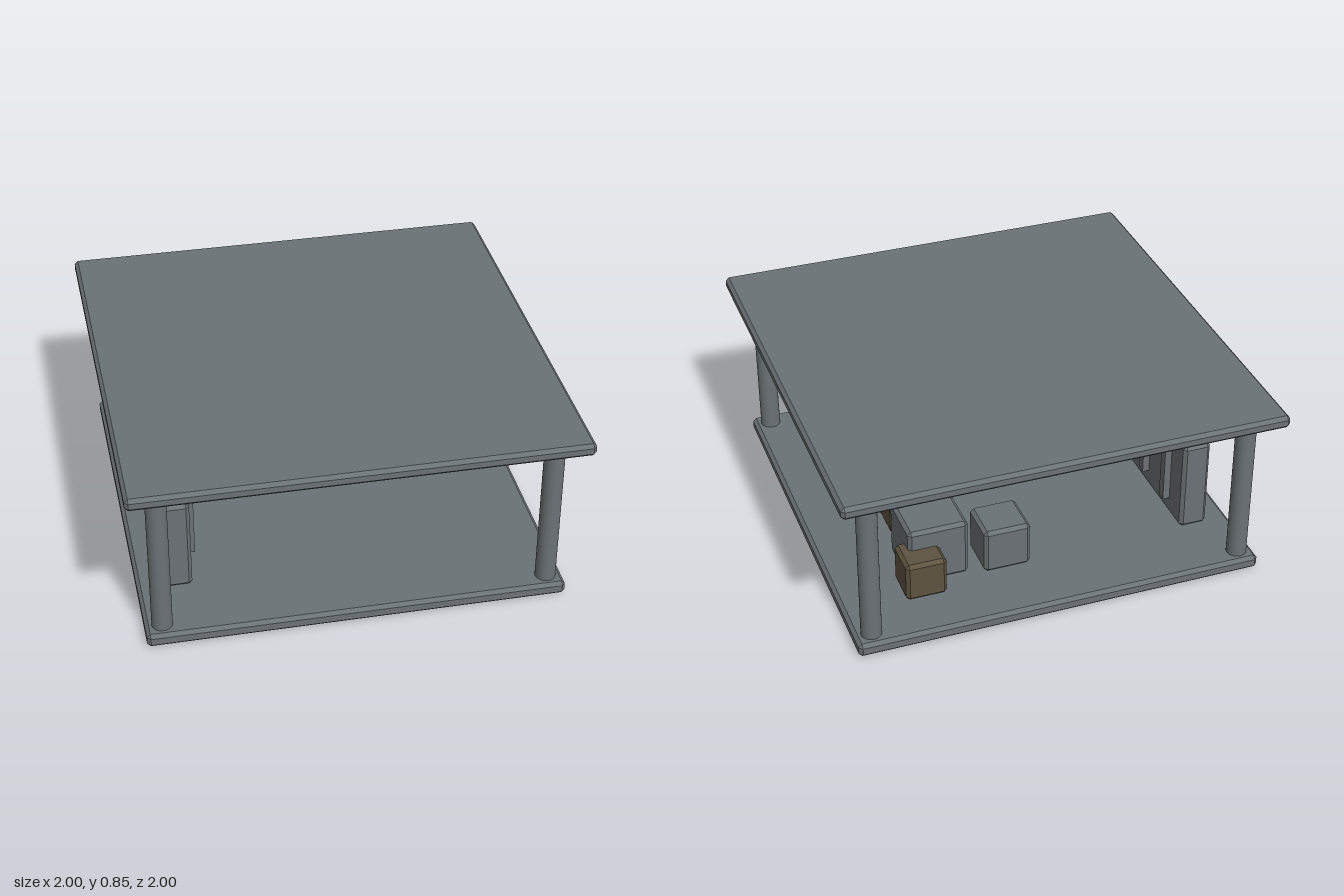
import * as THREE from 'three';
import { ConvexGeometry } from 'three/addons/geometries/ConvexGeometry.js';

// Box with every edge cut by a flat chamfer
function chamferBox(w, h, d, c) {
  const points = [];
  for (const sx of [-1, 1]) for (const sy of [-1, 1]) for (const sz of [-1, 1]) {
    const x = w / 2, y = h / 2, z = d / 2;
    points.push(
      new THREE.Vector3(sx * x, sy * (y - c), sz * (z - c)),
      new THREE.Vector3(sx * (x - c), sy * y, sz * (z - c)),
      new THREE.Vector3(sx * (x - c), sy * (y - c), sz * z));
  }
  return new ConvexGeometry(points);
}

export function createModel() {
  const model = new THREE.Group();
  model.name = 'shelter';
  const metal = new THREE.MeshStandardMaterial({ color: 0x6b7276 });
  metal.name = 'grey metal';
  const wood = new THREE.MeshStandardMaterial({ color: 0x5e5340 });
  wood.name = 'brown crate';

  const add = (name, geometry, material, x, y, z) => {
    const mesh = new THREE.Mesh(geometry, material);
    mesh.name = name;
    mesh.position.set(x, y, z);
    model.add(mesh);
  };

  const floorTop = 0.065, roofBottom = 0.785;

  // Floor and roof slabs
  add('floor', chamferBox(1.87, floorTop, 1.87, 0.016), metal, 0, floorTop / 2, 0);
  add('roof', chamferBox(2, 0.06, 2, 0.016), metal, 0, roofBottom + 0.03, 0);

  // Corner columns
  const column = new THREE.CylinderGeometry(0.046, 0.046, roofBottom - floorTop + 0.02, 32);
  for (const x of [-0.86, 0.86]) for (const z of [-0.86, 0.86]) {
    add('column', column, metal, x, (floorTop + roofBottom) / 2, z);
  }

  // Long cabinet with upright ribs on its inner face
  add('cabinet', chamferBox(0.13, 0.44, 1.245, 0.016), metal, -0.755, 0.285, 0);
  const rib = new THREE.BoxGeometry(0.05, 0.34, 0.044);
  for (let i = -2; i <= 2; i++) add('cabinetRib', rib, metal, -0.683, 0.316, i * 0.235);

  // Crates standing on the floor: material, size, x, z
  const crates = [
    ['largeCrate', metal, 0.277, 0.468, -0.468],
    ['greyCrate', metal, 0.216, 0.156, -0.53],
    ['brownCrate', wood, 0.217, 0.465, -0.123],
    ['smallBrownCrate', wood, 0.187, 0.558, -0.622],
  ];
  for (const [name, material, size, x, z] of crates) {
    add(name, chamferBox(size, size, size, 0.016), material, x, floorTop + size / 2, z);
  }
  return model;
}
